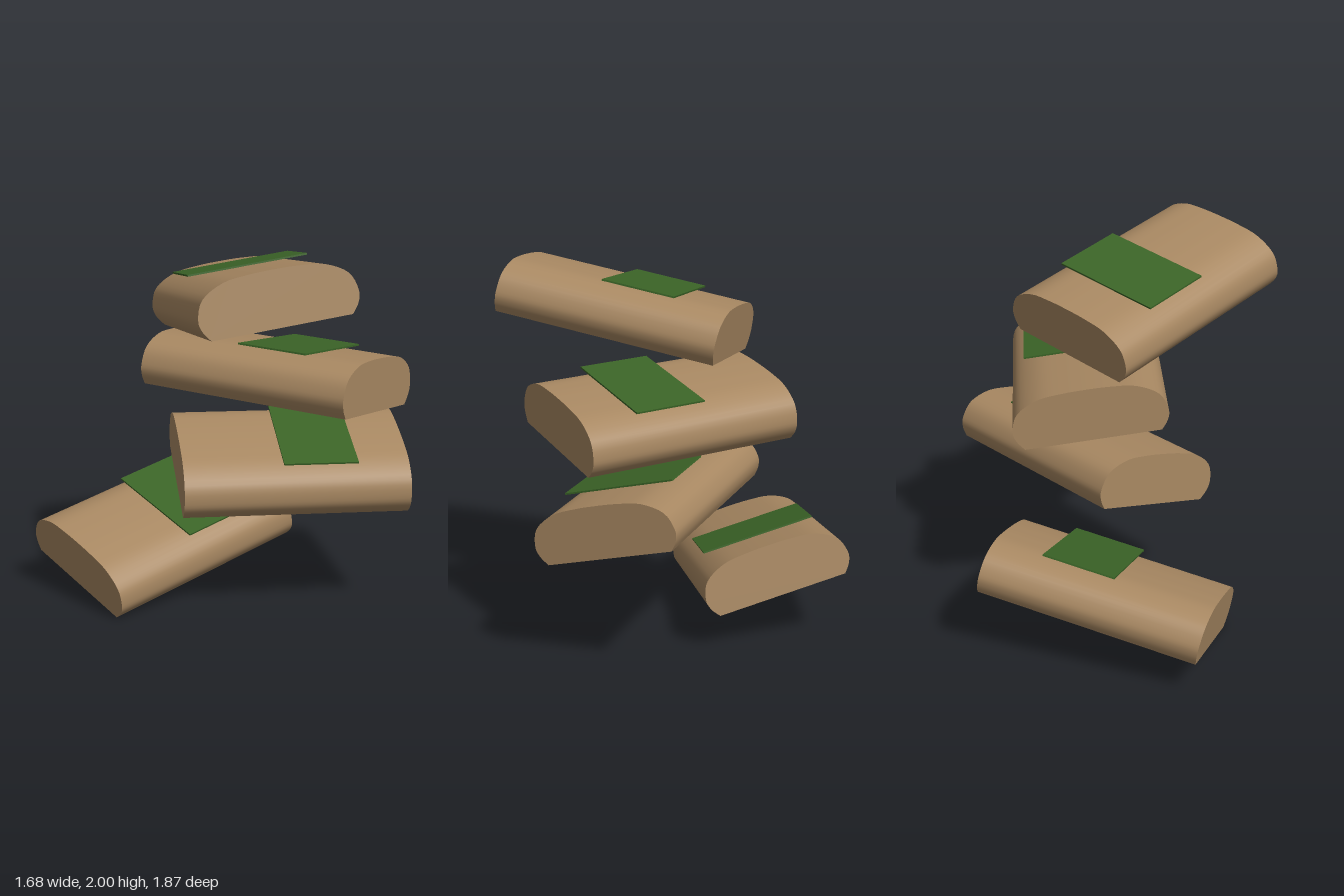
import * as THREE from 'three';
import { toCreasedNormals } from 'three/addons/utils/BufferGeometryUtils.js';

const LENGTH = 1.185;

// Domed cross-section: flat base, bulging sides, softly flattened top
function makeLoafGeometry() {
  const half = [[0.35, 0], [0.386, 0.05], [0.397, 0.11], [0.36, 0.2], [0.25, 0.26], [0.12, 0.276]];
  const points = [...half, [0, 0.279], ...half.map(([x, y]) => [-x, y]).reverse()];
  const curve = new THREE.SplineCurve(points.map(([x, y]) => new THREE.Vector2(x, y)));
  const shape = new THREE.Shape(curve.getPoints(48));
  const geometry = new THREE.ExtrudeGeometry(shape, { depth: LENGTH, steps: 1, bevelEnabled: false });
  geometry.translate(0, 0, -LENGTH / 2);
  return toCreasedNormals(geometry, 0.6);
}

export function createModel() {
  const crust = new THREE.MeshStandardMaterial({ color: 0xa88862 });
  crust.name = 'tan';
  const green = new THREE.MeshStandardMaterial({ color: 0x3b6427 });
  green.name = 'green';

  const loafGeometry = makeLoafGeometry();
  const plateGeometry = new THREE.BoxGeometry(0.62, 0.009, 0.39);

  // Base centre, length direction and width direction of each tumbled block
  const blocks = [
    { at: [-0.13, 0.195, -0.51], along: [1.16, 0.2, 0.12], across: [0.04, 0.19, -0.68] },
    { at: [0.145, 0.67, 0.165], along: [0.95, -0.02, 0.71], across: [0.4, 0.18, -0.56] },
    { at: [0.09, 1.14, 0.13], along: [0.31, -0.02, 1.14], across: [0.67, -0.1, -0.2] },
    { at: [-0.195, 1.615, 0.255], along: [0.61, -0.2, -1.0], across: [-0.6, -0.09, -0.35] },
  ];

  const model = new THREE.Group();
  model.name = 'stackedBlocks';
  blocks.forEach(({ at, along, across }, i) => {
    const z = new THREE.Vector3(...along).normalize();
    const y = z.clone().cross(new THREE.Vector3(...across)).normalize();
    const x = y.clone().cross(z);

    const block = new THREE.Group();
    block.name = `block${i + 1}`;
    block.position.set(...at);
    block.quaternion.setFromRotationMatrix(new THREE.Matrix4().makeBasis(x, y, z));

    const body = new THREE.Mesh(loafGeometry, crust);
    body.name = 'domedBody';
    // Flat patch resting on the crown, off-centre along the length
    const patch = new THREE.Mesh(plateGeometry, green);
    patch.name = 'topPatch';
    patch.position.set(0, 0.283, 0.12);
    block.add(body, patch);
    model.add(block);
  });
  return model;
}
